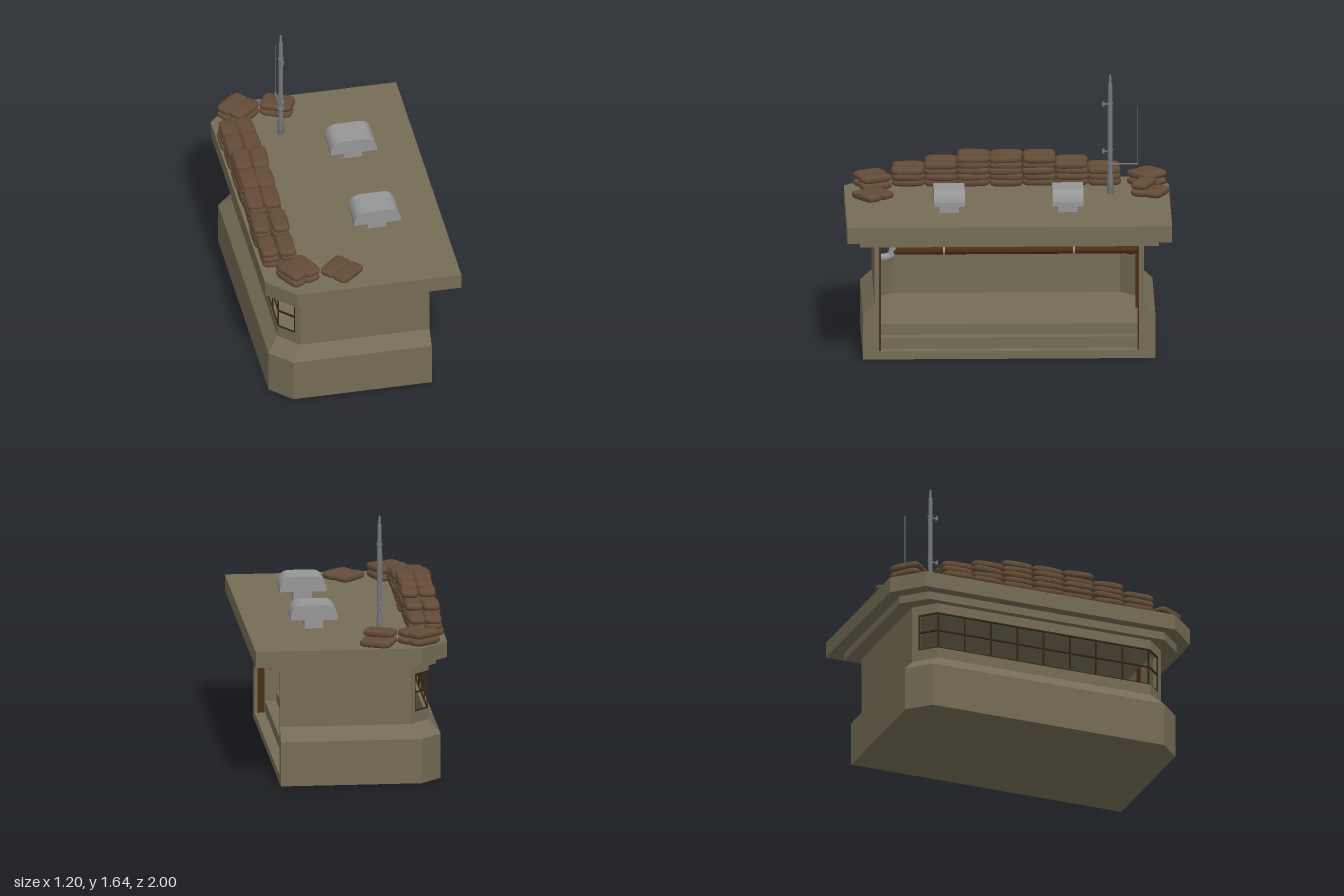
import * as THREE from 'three';

const mat = (name, color, side = THREE.FrontSide) => {
  const m = new THREE.MeshStandardMaterial({ color, side });
  m.name = name;
  return m;
};

export function createModel() {
  const root = new THREE.Group();
  const concrete = mat('concrete', 0x756c56);
  const metal = mat('ventMetal', 0x969696);
  const steel = mat('mastSteel', 0x74777b);
  const burlap = mat('burlap', 0x634b37);
  const rust = mat('brownPaint', 0x4c2e12);
  const frame = mat('windowFrame', 0x35260f);

  const add = (name, geo, m, parent = root) => {
    const mesh = new THREE.Mesh(geo, m);
    mesh.name = name;
    parent.add(mesh);
    return mesh;
  };
  const box = (name, m, x0, x1, y0, y1, z0, z1, parent = root) => {
    const b = add(name, new THREE.BoxGeometry(x1 - x0, y1 - y0, z1 - z0), m, parent);
    b.position.set((x0 + x1) / 2, (y0 + y1) / 2, (z0 + z1) / 2);
    return b;
  };
  const group = (name) => {
    const g = new THREE.Group();
    g.name = name;
    root.add(g);
    return g;
  };

  // Upright prism over a plan outline of [x, z]; the top may follow another outline
  const prism = (name, bottom, y0, y1, top = bottom) => {
    const shape = new THREE.Shape(bottom.map(([x, z]) => new THREE.Vector2(x, -z)));
    const geo = new THREE.ExtrudeGeometry(shape, { depth: y1 - y0, bevelEnabled: false });
    geo.rotateX(-Math.PI / 2);
    const p = geo.attributes.position;
    for (let i = 0; i < p.count; i++) {
      if (p.getY(i) > (y1 - y0) / 2) {
        const k = bottom.findIndex(([x, z]) => Math.hypot(x - p.getX(i), z - p.getZ(i)) < 1e-4);
        p.setX(i, top[k][0]);
        p.setZ(i, top[k][1]);
      }
      p.setY(i, p.getY(i) + y0);
    }
    geo.computeVertexNormals();
    return add(name, geo, concrete);
  };
  // Rectangle with the two corners on the -x side cut off
  const plan = (xMin, xMax, z, c) => [
    [xMax, z], [xMin + c, z], [xMin, z - c], [xMin, c - z], [xMin + c, -z], [xMax, -z]];
  const inner = plan(-0.465, 0.435, 0.8, 0.1);
  const ring = (outer) => [...outer, ...inner.slice().reverse()];
  const lower = plan(-0.565, 0.435, 0.9, 0.13);
  const upper = plan(-0.495, 0.435, 0.83, 0.12);

  // Concrete shell, open on the +x side
  prism('floor', lower, 0, 0.05);
  prism('lowerWall', ring(lower), 0.05, 0.28);
  prism('slopedLedge', ring(lower), 0.28, 0.36, ring(upper));
  prism('windowSill', ring(upper), 0.36, 0.43);
  prism('wallHead', ring(upper), 0.67, 0.73);
  for (const s of [1, -1]) {
    prism('sideWall', [[0.435, 0.8], [0.435, 0.83], [-0.375, 0.83], [-0.405, 0.8],
      [-0.385, 0.775], [-0.365, 0.8]].map(([x, z]) => [x, z * s]), 0.43, 0.67);
  }
  prism('roofStep', plan(-0.535, 0.5, 0.92, 0.135), 0.73, 0.78);
  prism('roofSlab', plan(-0.6, 0.6, 1, 0.17), 0.78, 0.88);

  // Entrance steps and the raised inner floor
  prism('lowerStep', plan(-0.464, 0.37, 0.8, 0.1), 0.05, 0.12);
  prism('innerFloor', plan(-0.464, 0.3, 0.8, 0.1), 0.12, 0.185);

  // Window grid that wraps round both cut corners
  const win = group('windowGrid');
  const bar = (a, b, t = 0.009) => {
    const A = new THREE.Vector3(...a), B = new THREE.Vector3(...b);
    const m = add('windowBar', new THREE.BoxGeometry(t, t, A.distanceTo(B)), frame, win);
    m.position.copy(A).add(B).multiplyScalar(0.5);
    m.lookAt(B);
  };
  for (const y of [0.433, 0.55, 0.667]) {
    bar([-0.488, y, -0.71], [-0.488, y, 0.71]);
    for (const s of [1, -1]) bar([-0.488, y, 0.707 * s], [-0.403, y, 0.792 * s]);
  }
  for (let i = -4; i <= 4; i++) bar([-0.488, 0.43, i * 0.175], [-0.488, 0.67, i * 0.175]);
  for (const s of [1, -1]) bar([-0.403, 0.43, 0.792 * s], [-0.403, 0.67, 0.792 * s]);

  // Brown posts on the inner side walls
  for (const s of [1, -1]) {
    for (const [x, y] of [[0.395, 0.05], [-0.1, 0.185]]) {
      const p = box('wallPost', rust, x - 0.022, x + 0.022, y, 0.73, -0.007, 0.007);
      p.position.z = 0.797 * s;
    }
  }

  // Ceiling pipe with its elbow and hangers
  const pipe = add('ceilingPipe', new THREE.CylinderGeometry(0.024, 0.024, 1.51, 12), rust);
  pipe.rotation.x = Math.PI / 2;
  pipe.position.set(0.33, 0.663, -0.045);
  const bend = new THREE.CatmullRomCurve3([[0.71, 0.715], [0.67, 0.715], [0.635, 0.727],
    [0.622, 0.76], [0.622, 0.8]].map(([y, z]) => new THREE.Vector3(0.33, y, z)));
  add('pipeElbow', new THREE.TubeGeometry(bend, 12, 0.025, 10), metal);
  const cap = add('elbowCap', new THREE.CylinderGeometry(0.025, 0.025, 0.004, 10), metal);
  cap.position.set(0.33, 0.71, 0.715);
  for (const z of [0.4, -0.4]) {
    box('pipeHanger', metal, 0.325, 0.335, 0.68, 0.73, z - 0.004, z + 0.004);
    const clip = add('pipeClip', new THREE.CylinderGeometry(0.027, 0.027, 0.012, 12), metal);
    clip.rotation.x = Math.PI / 2;
    clip.position.set(0.33, 0.663, z);
  }

  // Roof vents: a domed cap on a short duct
  const dome = new THREE.Shape();
  dome.moveTo(-0.145, 0.94);
  dome.lineTo(0.145, 0.94);
  dome.lineTo(0.145, 0.965);
  dome.quadraticCurveTo(0.13, 1.034, 0.07, 1.034);
  dome.lineTo(-0.07, 1.034);
  dome.quadraticCurveTo(-0.13, 1.034, -0.145, 0.965);
  for (const z of [0.365, -0.365]) {
    const vent = group('roofVent');
    vent.position.set(0.185, 0, z);
    const c = add('ventCap', new THREE.ExtrudeGeometry(dome,
      { depth: 0.19, bevelEnabled: false, curveSegments: 6 }), metal, vent);
    c.position.z = -0.095;
    box('ventDuct', metal, -0.058, 0.058, 0.88, 0.945, -0.06, 0.06, vent);
  }

  // Mast with collars, clamps and a thin side aerial
  const mast = group('mast');
  mast.position.set(-0.2, 0, -0.635);
  const profile = [[0, 0.88], [0.019, 0.88], [0.019, 0.97], [0.013, 1.04], [0.013, 1.1], [0.015, 1.1],
    [0.015, 1.44], [0.013, 1.46], [0.013, 1.58], [0.006, 1.59], [0.009, 1.6], [0.006, 1.635], [0, 1.638]];
  add('mastPole', new THREE.LatheGeometry(profile.map((p) => new THREE.Vector2(...p)), 10), steel, mast);
  for (const [y, r] of [[1.075, 0.021], [1.16, 0.018], [1.455, 0.018]]) {
    add('mastCollar', new THREE.CylinderGeometry(r, r, 0.012, 10), steel, mast).position.y = y;
  }
  for (const y of [1.15, 1.45]) {
    box('clampArm', steel, -0.004, 0.004, y - 0.004, y + 0.004, 0, 0.05, mast);
    box('clampHead', steel, -0.01, 0.01, y - 0.013, y + 0.013, 0.035, 0.047, mast);
  }
  box('aerialArm', steel, -0.004, 0.004, 1.064, 1.072, -0.172, 0, mast);
  box('aerialRod', steel, -0.002, 0.002, 1.066, 1.43, -0.172, -0.168, mast);

  // Sandbag: a sphere squared off into a pillow, long along z
  const bagGeo = new THREE.SphereGeometry(1, 18, 10);
  const bp = bagGeo.attributes.position;
  const square = (v, e) => Math.sign(v) * Math.abs(v) ** e;
  for (let i = 0; i < bp.count; i++) {
    bp.setXYZ(i, square(bp.getX(i), 0.45) * 0.055, square(bp.getY(i), 0.8) * 0.025,
      square(bp.getZ(i), 0.4) * 0.102);
  }
  bagGeo.computeVertexNormals();
  let seed = 7;
  const wobble = (a) => {
    seed = (seed * 16807) % 2147483647;
    return (seed / 2147483647 - 0.5) * a;
  };
  const bags = group('sandbags');
  const bag = (x, y, z, turn) => {
    const b = add('sandbag', bagGeo, burlap, bags);
    b.position.set(x, y, z);
    b.rotation.set(wobble(0.05), turn + wobble(0.1), wobble(0.08));
  };
  const layerY = (n) => 0.903 + n * 0.0355;

  // Main wall of bags, tallest in the middle
  for (let i = -3; i <= 3; i++) {
    const layers = [5, 5, 4, 3][Math.abs(i)];
    for (let n = 0; n < layers; n++) {
      for (const x of [-0.535, -0.43]) {
        bag(x + wobble(0.015), layerY(n), i * 0.201 + wobble(0.01), 0);
      }
    }
  }
  // Loose bags at the two ends: x, z, turn, layers
  for (const [x, z, turn, layers] of [
    [-0.45, -0.895, 2.25, 2], [-0.39, -0.835, 2.25, 2], [-0.155, -0.925, 1.15, 1], [-0.185, -0.84, 1.15, 2],
    [-0.435, 0.84, 0.5, 2], [-0.345, 0.81, 0.45, 2], [-0.15, 0.795, 2.3, 1], [-0.085, 0.865, 2.3, 1]]) {
    for (let n = 0; n < layers; n++) bag(x, layerY(n * 1.3), z, turn);
  }
  return root;
}
